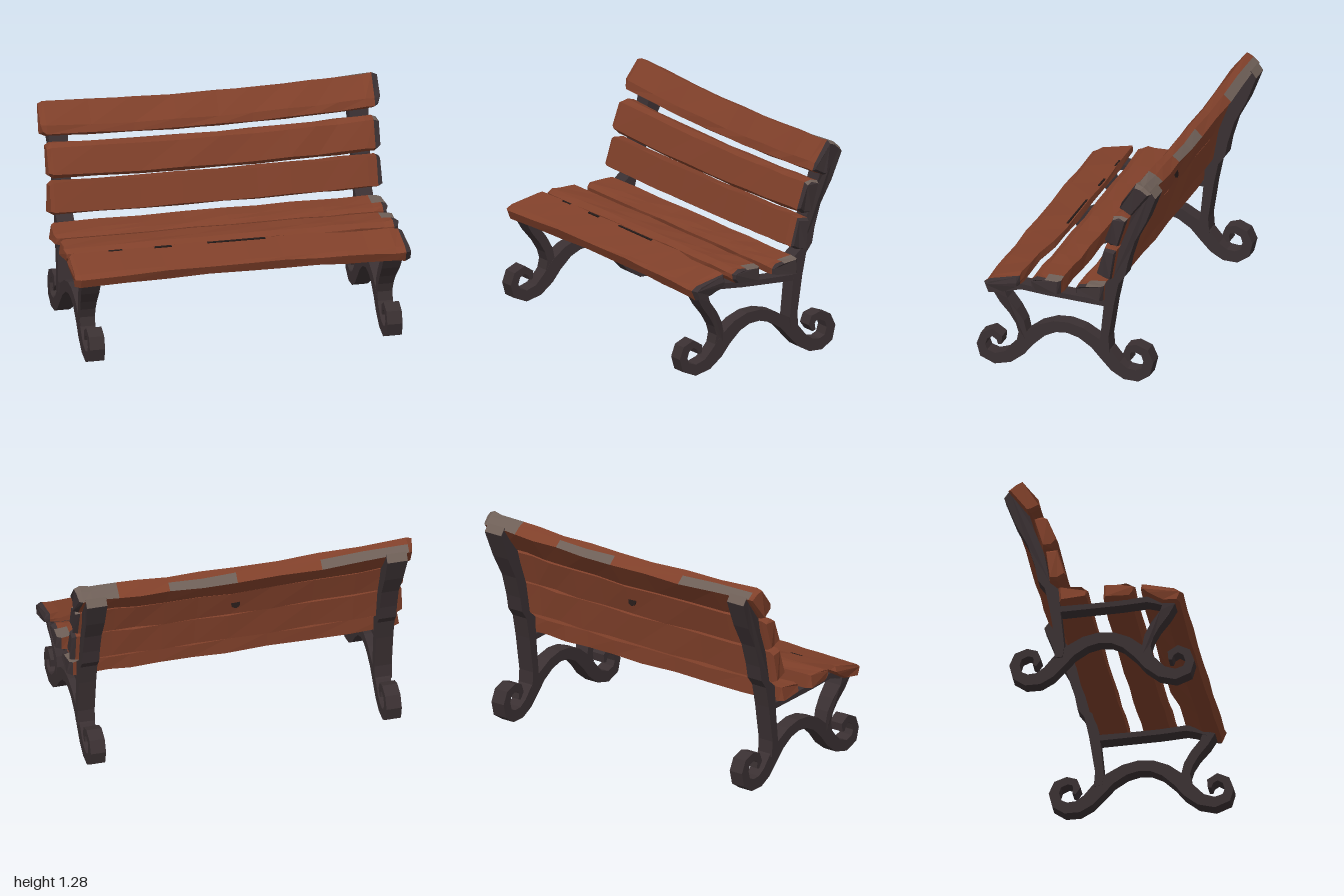
import * as THREE from 'three';

const mat = (name, color, flatShading = true) => {
  const m = new THREE.MeshStandardMaterial({ color });
  m.name = name;
  m.flatShading = flatShading;
  return m;
};

export function createModel() {
  const wood = mat('brown wood', 0x80402a);
  const iron = mat('dark iron', 0x3a3032);
  const worn = mat('worn grey', 0x6e5f57);
  const dark = mat('dark crack', 0x241a18);
  const palette = [wood, iron, worn];
  const model = new THREE.Group();

  const add = (parent, name, geometry, material) => {
    const mesh = new THREE.Mesh(geometry, material);
    mesh.name = name;
    parent.add(mesh);
    return mesh;
  };

  // ---- Planks: a [z, y] section swept along x, tapered at the ends ----
  const stations = [-1, -0.965, -0.7, -0.45, -0.2, 0.05, 0.25, 0.45, 0.62, 0.75, 0.91, 0.965, 1];

  function plank({ name, section, length, sag = 0, bow = 0, seed = 0, paint = () => 0, shape = (x, p) => p }) {
    const n = section.length;
    const cz = section.reduce((s, p) => s + p[0], 0) / n;
    const cy = section.reduce((s, p) => s + p[1], 0) / n;
    const rings = stations.map((t, i) => {
      const end = i === 0 || i === stations.length - 1;
      const k = end ? 0.86 : 1;
      const drop = sag * (1 - t * t);
      const push = bow * (1 - t * t);
      return section.map((p, j) => {
        const [z, y] = shape(t, p, j);
        const wob = end ? 0 : 0.004 * Math.sin(i * 2.3 + j * 1.7 + seed);
        const skew = end ? 0.008 * Math.sin(j * 2.1 + seed) - 0.008 : 0;
        return [t * length + Math.sign(t) * skew, cy + (y - cy) * k - drop + wob, cz + (z - cz) * k - push + wob * 0.6];
      });
    });
    const lists = palette.map(() => []);
    const tri = (m, ...pts) => pts.forEach((p) => lists[m].push(...p));
    for (let i = 0; i < rings.length - 1; i++) {
      const mid = (stations[i] + stations[i + 1]) / 2;
      for (let j = 0; j < n; j++) {
        const a = rings[i][j], b = rings[i + 1][j];
        const c = rings[i + 1][(j + 1) % n], d = rings[i][(j + 1) % n];
        const m = paint(mid, j);
        tri(m, a, b, c);
        tri(m, a, c, d);
      }
    }
    const first = rings[0], last = rings[rings.length - 1];
    for (let j = 1; j < n - 1; j++) {
      tri(0, first[0], first[j], first[j + 1]);
      tri(1, last[0], last[j + 1], last[j]);
    }
    const g = new THREE.BufferGeometry();
    let start = 0;
    lists.forEach((l, m) => {
      if (l.length) g.addGroup(start, l.length / 3, m);
      start += l.length / 3;
    });
    g.setAttribute('position', new THREE.Float32BufferAttribute(lists.flat(), 3));
    g.computeVertexNormals();
    return add(model, name, g, palette);
  }

  const darkTip = (x) => (x > 0.97 ? 1 : 0);

  plank({
    name: 'topBackPlank', length: 1, sag: 0.03, seed: 1,
    section: [[-0.435, 1.28], [-0.475, 1.265], [-0.518, 1.228], [-0.405, 1.078], [-0.385, 1.085], [-0.33, 1.115], [-0.345, 1.16]],
    paint: (x, j) => {
      if (j < 2 && x > 0.75) return 2;
      if (j === 1 && ((x > -0.965 && x < -0.45) || (x > 0.05 && x < 0.45))) return 2;
      return darkTip(x);
    },
  });
  plank({
    name: 'middleBackPlank', length: 0.98, sag: 0.02, seed: 2.5,
    section: [[-0.29, 1.045], [-0.33, 1.06], [-0.375, 1.045], [-0.32, 0.86], [-0.27, 0.865], [-0.235, 0.895]],
    paint: (x, j) => (x > 0.97 ? (j < 2 ? 2 : 1) : 0),
  });
  plank({
    name: 'lowerBackPlank', length: 0.985, sag: 0.01, seed: 4,
    section: [[-0.235, 0.845], [-0.305, 0.835], [-0.28, 0.65], [-0.235, 0.655], [-0.188, 0.68]],
    paint: darkTip,
  });
  plank({
    name: 'rearSeatPlank', length: 0.985, seed: 5, bow: 0.006,
    section: [[-0.06, 0.57], [-0.085, 0.59], [-0.13, 0.597], [-0.23, 0.605], [-0.225, 0.51], [-0.065, 0.53]],
    paint: (x, j) => (x > 0.91 && j === 2 ? 2 : darkTip(x)),
  });
  plank({
    name: 'middleSeatPlank', length: 0.985, seed: 6, bow: 0.01,
    section: [[0.212, 0.58], [0.17, 0.6], [0.12, 0.6], [0.03, 0.6], [0.03, 0.515], [0.185, 0.52], [0.21, 0.55]],
    paint: (x, j) => (x > 0.91 && j === 2 ? 2 : darkTip(x)),
  });
  // The front plank has a split rear edge, narrower towards one end
  plank({
    name: 'frontSeatPlank', length: 0.99, sag: -0.018, bow: 0.012, seed: 7,
    section: [[0.492, 0.52], [0.455, 0.55], [0.25, 0.597], [0.245, 0.56], [0.275, 0.53], [0.375, 0.475], [0.47, 0.465]],
    shape: (x, [z, y], j) => {
      const s = 1 - 0.25 * (1 - x * x);
      const top = y > 0.53 ? y - 0.018 * (1 - x * x) : y * 1 + 0.004 * s;
      return [(j === 2 || j === 3) && x > 0.6 ? z + 0.03 : z, top];
    },
    paint: darkTip,
  });

  // Splits in the front plank and a knot on the back
  [[-0.42, 0.1], [-0.05, 0.22], [0.12, 0.12], [-0.7, 0.08]].forEach(([x, w]) => {
    const crack = add(model, 'crack', new THREE.BoxGeometry(w, 0.006, 0.012), dark);
    crack.position.set(x, 0.596, 0.253);
    crack.rotation.x = 0.22;
  });
  const knot = add(model, 'knot', new THREE.CylinderGeometry(0.028, 0.028, 0.006, 7), dark);
  knot.position.set(0.02, 0.93, -0.349);
  knot.rotation.x = Math.PI / 2 + 0.29;

  // ---- Iron frames: outlines in [z, y] extruded across x ----
  function slab(parent, name, outline, side, depth, flare = () => 0) {
    const shape = new THREE.Shape(outline.map(([z, y]) => new THREE.Vector2(-z, y)));
    const g = new THREE.ExtrudeGeometry(shape, { depth, bevelEnabled: false });
    g.translate(0, 0, -depth / 2).rotateY(Math.PI / 2);
    const p = g.attributes.position;
    for (let i = 0; i < p.count; i++) {
      const outer = p.getX(i) * side > 0;
      p.setX(i, p.getX(i) + side * (0.875 + (outer ? flare(p.getY(i)) : 0)));
    }
    g.computeVertexNormals();
    return add(parent, name, g, iron);
  }

  // Turns a centre line of [z, y, width] into a closed outline
  function ribbon(path) {
    const a = [], b = [];
    path.forEach(([z, y, w], i) => {
      const p = path[Math.max(i - 1, 0)], q = path[Math.min(i + 1, path.length - 1)];
      const dz = q[0] - p[0], dy = q[1] - p[1], l = Math.hypot(dz, dy);
      a.push([z - (dy / l) * w / 2, y + (dz / l) * w / 2]);
      b.unshift([z + (dy / l) * w / 2, y - (dz / l) * w / 2]);
    });
    return [...a, ...b];
  }

  const base = [
    [0.41, 0.13, 0.02], [0.413, 0.168, 0.042], [0.455, 0.195, 0.046], [0.505, 0.17, 0.05], [0.524, 0.115, 0.052],
    [0.507, 0.062, 0.062], [0.44, 0.036, 0.066], [0.36, 0.058, 0.072], [0.292, 0.118, 0.084], [0.237, 0.186, 0.084],
    [0.156, 0.254, 0.074], [0.078, 0.287, 0.068], [0, 0.292, 0.066], [-0.081, 0.271, 0.068], [-0.166, 0.22, 0.074],
    [-0.234, 0.156, 0.086], [-0.291, 0.092, 0.08], [-0.352, 0.054, 0.074], [-0.42, 0.05, 0.07], [-0.472, 0.081, 0.064],
    [-0.489, 0.146, 0.06], [-0.467, 0.2, 0.054], [-0.413, 0.222, 0.048], [-0.37, 0.21, 0.046], [-0.356, 0.176, 0.042],
    [-0.373, 0.138, 0.02],
  ];
  const leg = [
    [0.41, 0.485, 0.07], [0.38, 0.42, 0.056], [0.325, 0.35, 0.055], [0.288, 0.285, 0.054],
    [0.272, 0.224, 0.05], [0.278, 0.166, 0.06],
  ];
  const rail = [
    [0.407, 0.475, 0.035], [0.325, 0.503, 0.036], [0.275, 0.513, 0.034],
    [0.122, 0.498, 0.032], [-0.047, 0.489, 0.032], [-0.23, 0.481, 0.036],
  ];
  const post = [
    [-0.51, 1.233], [-0.403, 1.092], [-0.37, 0.98], [-0.315, 0.835], [-0.282, 0.65], [-0.232, 0.607],
    [-0.222, 0.46], [-0.2, 0.245], [-0.21, 0.18], [-0.258, 0.176], [-0.251, 0.268], [-0.285, 0.488],
    [-0.312, 0.617], [-0.352, 0.67], [-0.369, 0.76], [-0.41, 0.895], [-0.481, 1.03], [-0.542, 1.19],
  ];

  for (const side of [1, -1]) {
    const frame = new THREE.Group();
    frame.name = side > 0 ? 'leftFrame' : 'rightFrame';
    model.add(frame);
    slab(frame, 'scrolledFoot', ribbon(base), side, 0.09);
    slab(frame, 'frontLeg', ribbon(leg), side, 0.088, (y) => 0.025 * THREE.MathUtils.smoothstep(y, 0.25, 0.48));
    slab(frame, 'seatRail', ribbon(rail), side, 0.092, () => 0.008);
    slab(frame, 'backPost', post, side, 0.094, (y) => 0.008 + 0.02 * THREE.MathUtils.smoothstep(y, 0.9, 1.2));
    // Worn top of the post
    const cap = add(frame, 'postCap', new THREE.BoxGeometry(0.12, 0.006, 0.053), worn);
    cap.position.set(side * 0.889, 1.212, -0.526);
    cap.rotation.x = -0.93;
  }
  return model;
}
